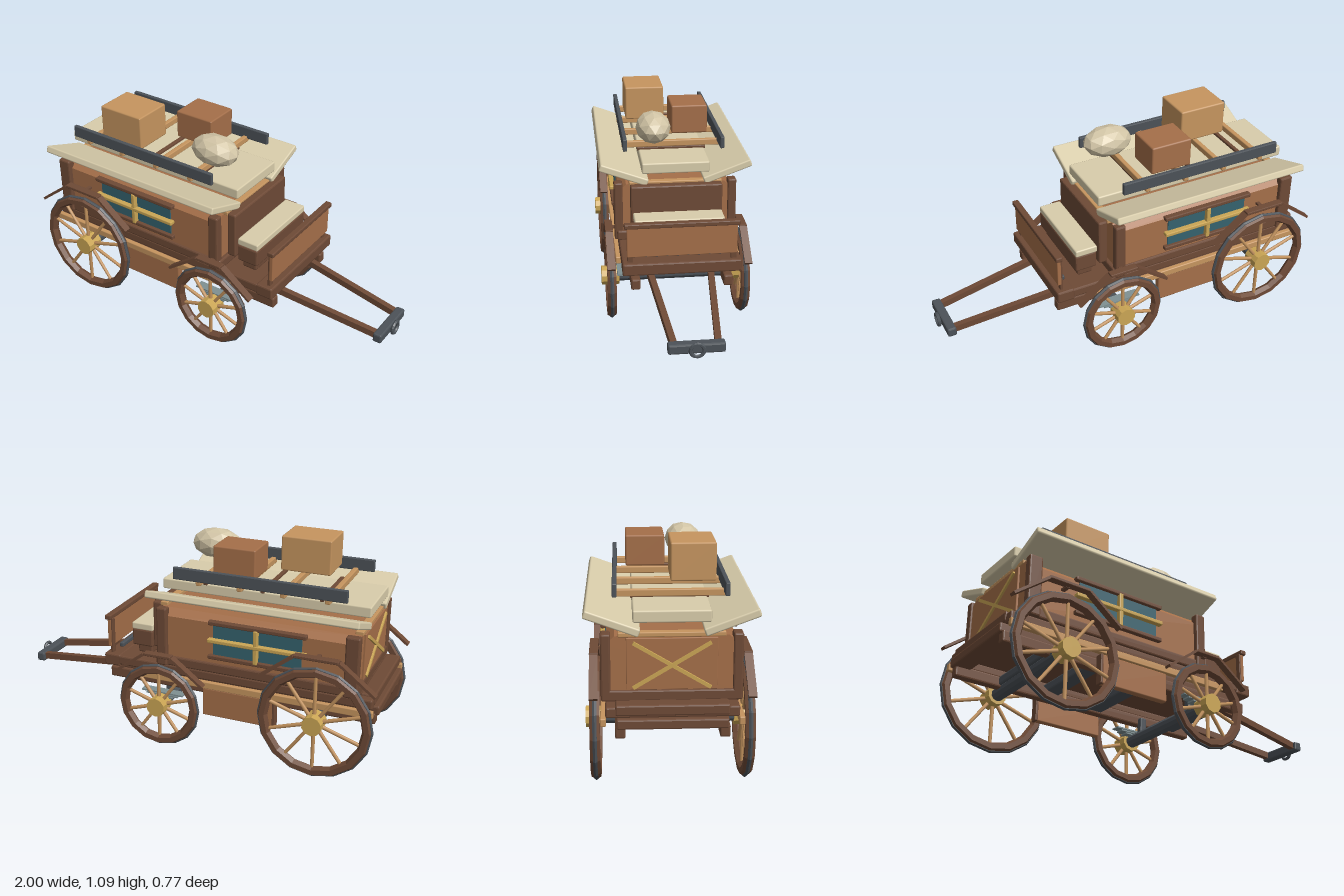
import * as THREE from 'three';
import { RoundedBoxGeometry } from 'three/addons/geometries/RoundedBoxGeometry.js';

const mat = (name, color, flat = false) => {
  const m = new THREE.MeshStandardMaterial({ color, flatShading: flat });
  m.name = name;
  return m;
};

export function createModel() {
  const root = new THREE.Group();
  root.name = 'wagon';

  const wood = mat('wood', 0xa56f49);
  const darkWood = mat('darkWood', 0x6e4a36, true);
  const tan = mat('tanWood', 0xc6955f);
  const cream = mat('creamCanvas', 0xd9cdab);
  const iron = mat('iron', 0x4c5258, true);
  const brass = mat('brass', 0xcba655, true);
  const glass = mat('glass', 0x35626e);
  const steel = mat('springSteel', 0x7f9092);
  const sackCloth = mat('sackCloth', 0xd2c5a6, true);

  const add = (name, geo, m, parent = root) => {
    const mesh = new THREE.Mesh(geo, m);
    mesh.name = name;
    parent.add(mesh);
    return mesh;
  };
  // Box given by its limits along each axis, with softly bevelled edges
  const box = (name, m, [x0, x1], [y0, y1], [z0, z1]) => {
    const w = x1 - x0, h = y1 - y0, d = z1 - z0, least = Math.min(w, h, d);
    const geo = least > 0.015
      ? new RoundedBoxGeometry(w, h, d, 1, Math.min(0.008, least * 0.2))
      : new THREE.BoxGeometry(w, h, d);
    const mesh = add(name, geo, m);
    mesh.position.set((x0 + x1) / 2, (y0 + y1) / 2, (z0 + z1) / 2);
    return mesh;
  };
  // The same box on both sides of the wagon
  const pair = (name, m, xs, ys, [z0, z1]) => {
    box(name + 'Right', m, xs, ys, [-z1, -z0]);
    box(name + 'Left', m, xs, ys, [z0, z1]);
  };
  // Square bar between two points
  const bar = (name, m, a, b, w, h) => {
    const from = new THREE.Vector3(...a), to = new THREE.Vector3(...b);
    const mesh = add(name, new THREE.BoxGeometry(w, h, from.distanceTo(to)), m);
    mesh.position.copy(from).add(to).multiplyScalar(0.5);
    mesh.lookAt(to);
    return mesh;
  };

  // Deck and chassis
  box('deck', darkWood, [-0.97, 0.37], [0.39, 0.44], [-0.293, 0.293]);
  box('frontDeckBeam', darkWood, [0.36, 0.452], [0.38, 0.443], [-0.293, 0.293]);
  box('bodySill', darkWood, [-0.9, 0.15], [0.44, 0.492], [-0.3, 0.3]);
  box('rearBumper', darkWood, [-0.975, -0.9], [0.4, 0.45], [-0.25, 0.25]);
  box('rearStep', darkWood, [-0.995, -0.9], [0.345, 0.392], [-0.245, 0.245]);
  pair('sideStrip', tan, [-0.98, 0.25], [0.355, 0.392], [0.29, 0.316]);
  pair('chassisRail', darkWood, [-0.98, 0.44], [0.298, 0.355], [0.206, 0.252]);
  pair('railSpacer', darkWood, [-0.9, 0.38], [0.353, 0.392], [0.212, 0.238]);
  pair('sideLocker', wood, [-0.49, -0.11], [0.205, 0.355], [0.272, 0.308]);
  pair('lockerBatten', darkWood, [-0.497, -0.482], [0.205, 0.355], [0.27, 0.31]);
  for (const x of [-0.708, -0.48, -0.18, 0.3])
    box('crossBeam', iron, [x - 0.04, x + 0.04], [0.31, 0.355], [-0.225, 0.225]);

  // Body with chamfered upper edges, and corner posts
  const section = new THREE.Shape([
    [-0.288, 0.48], [0.288, 0.48], [0.288, 0.703], [0.25, 0.738], [-0.25, 0.738], [-0.288, 0.703],
  ].map(([z, y]) => new THREE.Vector2(z, y)));
  const body = add('body', new THREE.ExtrudeGeometry(section, { depth: 1.02, bevelEnabled: false }), wood);
  body.rotation.y = Math.PI / 2;
  body.position.x = -0.89;
  pair('rearPost', darkWood, [-0.9, -0.83], [0.44, 0.748], [0.268, 0.312]);
  pair('frontPost', darkWood, [0.085, 0.14], [0.44, 0.748], [0.268, 0.312]);
  for (const x of [-0.875, 0.13])
    box('topTrim', tan, [x - 0.02, x + 0.02], [0.733, 0.754], [-0.235, 0.235]);

  // Side windows
  pair('windowGlass', glass, [-0.617, -0.163], [0.535, 0.703], [0.286, 0.294]);
  pair('windowHead', darkWood, [-0.643, -0.14], [0.698, 0.719], [0.28, 0.312]);
  pair('windowSill', darkWood, [-0.643, -0.14], [0.519, 0.54], [0.28, 0.312]);
  pair('windowCrossbar', brass, [-0.643, -0.14], [0.608, 0.628], [0.288, 0.32]);
  pair('windowMullion', brass, [-0.4, -0.378], [0.53, 0.705], [0.288, 0.318]);

  // Rear door with a diagonal brace
  box('rearDoor', wood, [-0.9, -0.885], [0.495, 0.73], [-0.2, 0.2]);
  for (const s of [-1, 1])
    bar('doorBrace', brass, [-0.902, 0.505, -0.17 * s], [-0.902, 0.71, 0.17 * s], 0.016, 0.016);

  // Roof: raised flat centre and two upswept wings
  box('roofCentre', cream, [-0.909, 0.166], [0.8, 0.855], [-0.171, 0.171]);
  for (const s of [-1, 1]) {
    const wing = add('roofWing', new RoundedBoxGeometry(1.075, 0.037, 0.256, 1, 0.008), cream);
    wing.position.set(-0.3715, 0.796, 0.262 * s);
    wing.rotation.x = -s * 0.355;
  }
  for (const x of [-0.67, -0.37, -0.07])
    box('roofRib', darkWood, [x - 0.01, x + 0.01], [0.85, 0.868], [-0.178, 0.178]);

  // Roof rack
  for (const x of [-0.72, -0.5, -0.28, -0.065])
    box('rackSlat', tan, [x - 0.013, x + 0.013], [0.87, 0.903], [-0.257, 0.257]);
  pair('rackRail', iron, [-0.815, 0.07], [0.889, 0.951], [0.237, 0.258]);

  // Luggage
  box('largeCrate', tan, [-0.655, -0.398], [0.918, 1.095], [0.005, 0.213]);
  box('smallCrate', wood, [-0.338, -0.118], [0.918, 1.066], [-0.195, -0.008]);
  const sack = add('sack', new THREE.IcosahedronGeometry(1, 1), sackCloth);
  sack.scale.set(0.132, 0.079, 0.09);
  sack.position.set(-0.018, 0.988, 0.098);

  // Driver's seat and footboard
  box('seatBack', darkWood, [0.147, 0.195], [0.5, 0.746], [-0.232, 0.232]);
  box('seatPedestal', darkWood, [0.22, 0.3], [0.44, 0.5], [-0.2, 0.2]);
  box('seatBase', darkWood, [0.205, 0.32], [0.487, 0.578], [-0.225, 0.225]);
  box('seatCushion', cream, [0.202, 0.32], [0.576, 0.613], [-0.228, 0.222]);
  box('footboard', wood, [0.42, 0.44], [0.475, 0.64], [-0.27, 0.27]);
  box('footboardRail', darkWood, [0.415, 0.449], [0.625, 0.65], [-0.282, 0.282]);
  pair('footboardPost', darkWood, [0.412, 0.427], [0.44, 0.63], [0.24, 0.268]);
  box('footRest', iron, [0.38, 0.403], [0.457, 0.48], [-0.217, 0.217]);

  // Draw shafts with hitch bar and ring
  for (const s of [-1, 1])
    bar('drawShaft', darkWood, [0.36, 0.345, 0.152 * s], [0.945, 0.27, 0.1 * s], 0.03, 0.034);
  box('hitchBar', iron, [0.934, 0.98], [0.243, 0.291], [-0.13, 0.13]);
  const ring = add('hitchRing', new THREE.TorusGeometry(0.031, 0.009, 6, 16), iron);
  ring.position.set(0.991, 0.267, 0);
  ring.rotation.y = Math.PI / 2;

  // Wheels, axles and mudguards
  const buildWheel = (radius) => {
    const wheel = new THREE.Group();
    wheel.name = 'wheel';
    add('rim', new THREE.TorusGeometry(radius - 0.029, 0.026, 6, 16), darkWood, wheel);
    add('tyre', new THREE.TorusGeometry(radius - 0.011, 0.011, 6, 16), iron, wheel);
    const hub = add('hub', new THREE.CylinderGeometry(0.05, 0.05, 0.092, 10), brass, wheel);
    hub.rotation.x = Math.PI / 2;
    const length = radius - 0.04;
    for (let i = 0; i < 10; i++) {
      const a = (i / 10) * Math.PI * 2;
      const spoke = add('spoke', new THREE.CylinderGeometry(0.009, 0.01, length, 6), tan, wheel);
      spoke.position.set(-Math.sin(a) * length / 2, Math.cos(a) * length / 2, 0);
      spoke.rotation.z = a;
    }
    return wheel;
  };
  const axles = [
    { x: -0.706, r: 0.291, y: 0.296, top: 0.632, half: 0.11, reach: 0.29, low: 0.488 },
    { x: 0.117, r: 0.225, y: 0.232, top: 0.508, half: 0.075, reach: 0.247, low: 0.376 },
  ];
  for (const { x, r, y, top, half, reach, low } of axles) {
    const axle = add('axle', new THREE.CylinderGeometry(0.033, 0.033, 0.62, 10), iron);
    axle.rotation.x = Math.PI / 2;
    axle.position.set(x, y, 0);
    pair('axleBracket', iron, [x - 0.02, x + 0.02], [y, 0.335], [0.183, 0.218]);
    for (const s of [-1, 1]) {
      const wheel = buildWheel(r);
      wheel.position.set(x, y, 0.34 * s);
      root.add(wheel);
      const z = 0.343 * s;
      box('mudguardTop', darkWood, [x - half, x + half], [top - 0.009, top + 0.007], [z - 0.02, z + 0.02]);
      for (const e of [-1, 1])
        bar('mudguardSlope', darkWood, [x + e * half, top - 0.004, z], [x + e * reach, low, z], 0.038, 0.013);
      // Bracket tying the mudguard to the wagon side
      bar('mudguardBracket', darkWood, [x, top - 0.005, 0.28 * s], [x, top - 0.005, 0.335 * s], 0.02, 0.012);
    }
  }
  // Stacked leaf springs over the front axle
  for (let i = 0; i < 3; i++) {
    const h = 0.115 - i * 0.028, y = 0.282 - i * 0.011;
    pair('springLeaf', steel, [0.117 - h, 0.117 + h], [y - 0.004, y + 0.004], [0.259, 0.307]);
  }
  return root;
}
